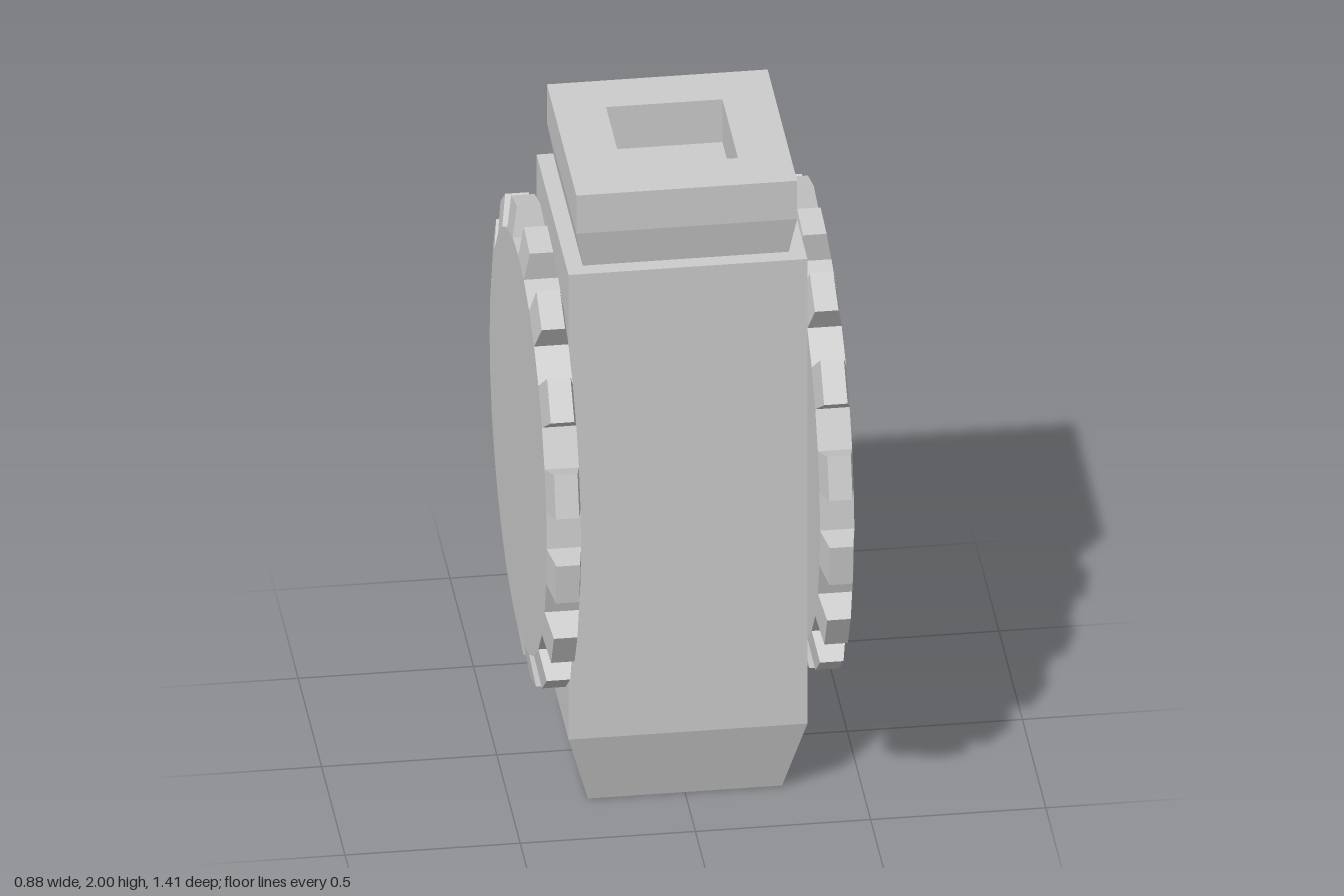
import * as THREE from 'three';
import { mergeGeometries } from 'three/addons/utils/BufferGeometryUtils.js';

const material = new THREE.MeshStandardMaterial({ color: 0xcccccc, flatShading: true });

function part(name, geometry) {
  const mesh = new THREE.Mesh(geometry, material);
  mesh.name = name;
  return mesh;
}

// Square-section solid from [half width, height] pairs, listed bottom to top
function squareLathe(profile) {
  const points = profile.map(([w, y]) => new THREE.Vector2(w * Math.SQRT2, y));
  return new THREE.LatheGeometry(points, 4, Math.PI / 4);
}

// Gear tooth pointing up: narrows across the wheel, flares slightly along the rim
function toothGeometry(base, tip, thickness) {
  const geo = new THREE.BoxGeometry(1, 1, 1);
  const pos = geo.attributes.position;
  for (let i = 0; i < pos.count; i++) {
    const top = pos.getY(i) > 0;
    pos.setXYZ(i,
      pos.getX(i) * (top ? 0.067 : thickness),
      top ? tip : base,
      pos.getZ(i) * (top ? 0.129 : 0.12));
  }
  return geo;
}

function createWheel(name) {
  const wheel = new THREE.Group();
  wheel.name = name;
  const sides = 32, radius = 0.61, thickness = 0.098;

  wheel.add(part('wheelDisc',
    new THREE.CylinderGeometry(radius, radius, thickness, sides).rotateZ(Math.PI / 2)));

  // One tooth on every second facet of the rim
  const teeth = [];
  const step = (Math.PI * 2) / sides;
  for (let i = 0; i < sides; i += 2) {
    teeth.push(toothGeometry(radius * Math.cos(step / 2), 0.7, thickness)
      .rotateX((i + 0.5) * step));
  }
  wheel.add(part('wheelTeeth', mergeGeometries(teeth)));
  return wheel;
}

export function createModel() {
  const model = new THREE.Group();
  model.name = 'gearedPost';

  // Square post with a tapered foot
  model.add(part('body', squareLathe([
    [0, 0], [0.277, 0], [0.341, 0.235], [0.341, 1.757], [0, 1.757],
  ])));

  // Flared collar with a square socket in its top
  model.add(part('collar', squareLathe([
    [0.294, 1.757], [0.315, 1.875], [0.315, 2], [0.166, 2], [0.166, 1.86], [0, 1.86],
  ])));

  // Gear wheels on both flanks
  for (const [name, side] of [['leftWheel', 1], ['rightWheel', -1]]) {
    const wheel = createWheel(name);
    wheel.position.set(side * 0.39, 1.022, 0);
    model.add(wheel);
  }
  return model;
}
